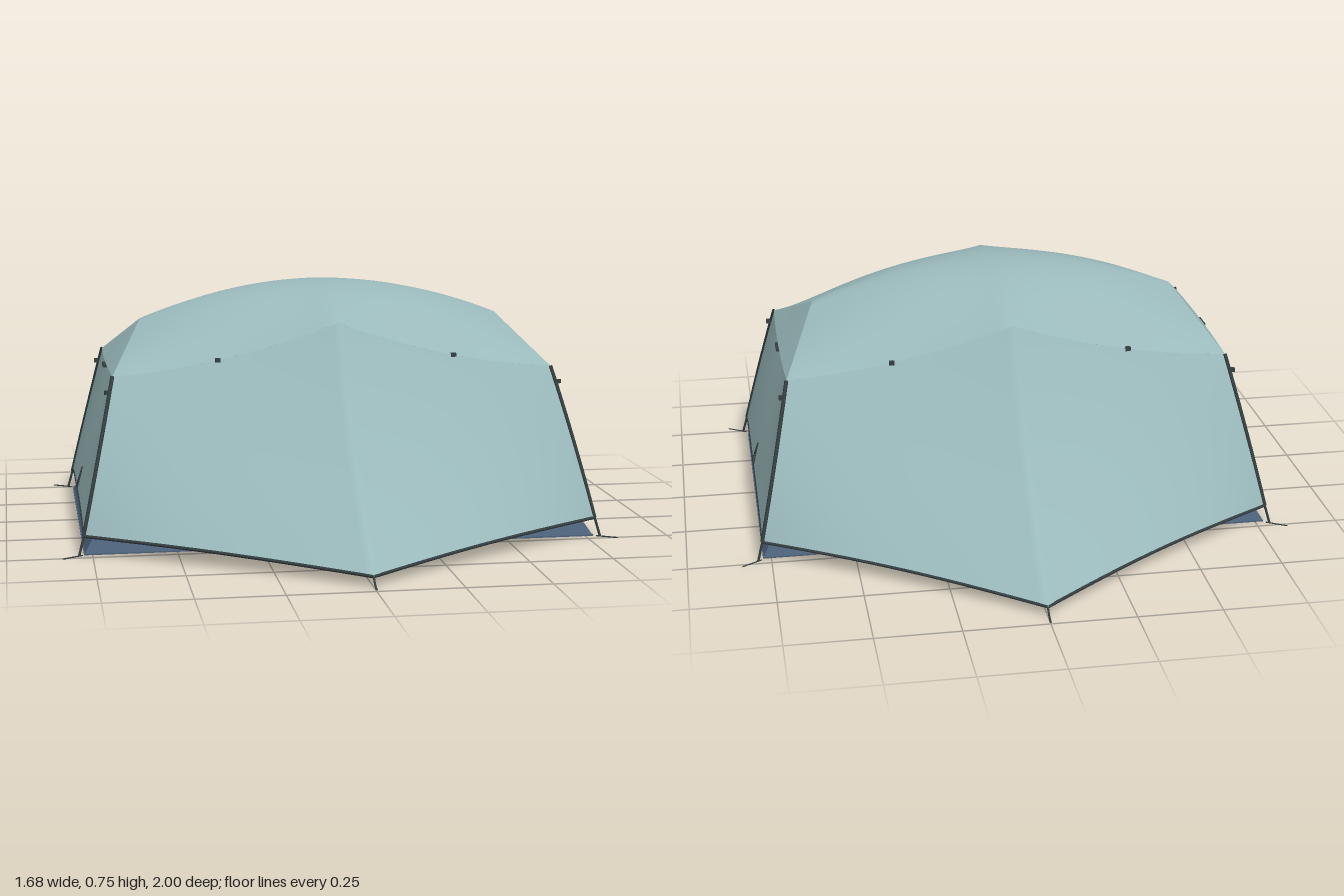
import * as THREE from 'three';

const mat = (name, color, side = THREE.FrontSide) => {
  const m = new THREE.MeshStandardMaterial({ color, side });
  m.name = name;
  return m;
};
const V = (x, y, z) => new THREE.Vector3(x, y, z);
const lerp = THREE.MathUtils.lerp;

// Grid surface from a rule f(a, b) with a, b in 0..1
function patch(f, na, nb) {
  const pos = [], idx = [];
  for (let j = 0; j <= nb; j++)
    for (let i = 0; i <= na; i++) pos.push(...f(i / na, j / nb).toArray());
  for (let j = 0; j < nb; j++)
    for (let i = 0; i < na; i++) {
      const p = j * (na + 1) + i, q = p + na + 1;
      idx.push(p, q, p + 1, p + 1, q, q + 1);
    }
  const g = new THREE.BufferGeometry();
  g.setAttribute('position', new THREE.Float32BufferAttribute(pos, 3));
  g.setIndex(idx);
  g.computeVertexNormals();
  return g;
}

// Key lines of the cover; u runs from the middle (0) to the end (1)
const ridge = u => V(0.57 * u, 0.755 - 0.115 * u * u, 0);
const eave = u => V(0.675 * u, 0.66 - 0.26 * u + 0.105 * u * u, 0.375 - 0.09 * u + 0.025 * u * u);
const hem = u => V(0.775 * u, 0.03 + 0.03 * u, 0.955 - 0.475 * u - 0.028 * Math.sin(Math.PI * u));

// Porch panel: hollow in the middle, slightly bowed out at the corner pole
function porch(u, t) {
  const p = eave(u).lerp(hem(u), t), bow = 4 * t * (1 - t);
  p.y -= 0.035 * bow * (1 - u);
  p.z += bow * lerp(-0.03, 0.016, u);
  return p;
}

// Roof: rounded across the middle, folded at the ends
function roof(u, v) {
  const a = Math.abs(u), t = Math.abs(v), r = ridge(a), e = eave(a);
  return V(Math.sign(u) * lerp(r.x, e.x, t), lerp(r.y, e.y, lerp(t * t, t, a ** 3)), e.z * v);
}

// End wall: tucked under the end eave, with a raised hem; v runs -1..1
function endWall(v, t) {
  const c = porch(1, t), arch = 1 - v ** 4;
  return V(c.x - 0.025 * (1 - v * v) * (1 - t) ** 2, c.y + 0.04 * arch * t * t - 0.012 * arch * (1 - t), c.z * v);
}

export function createModel() {
  const tent = new THREE.Group();
  tent.name = 'tent';
  const fly = mat('pale teal fabric', 0x9ab9bb, THREE.DoubleSide);
  const tub = mat('slate blue floor fabric', 0x4b6078, THREE.DoubleSide);
  const dark = mat('dark trim', 0x353f41, THREE.DoubleSide);

  const add = (name, geo, material) => {
    const m = new THREE.Mesh(geo, material);
    m.name = name;
    tent.add(m);
    return m;
  };
  const cord = (name, points, r, segs = 16) =>
    add(name, new THREE.TubeGeometry(new THREE.CatmullRomCurve3(points), segs, r, 6), dark);
  const sample = (f, n = 12) => Array.from({ length: n + 1 }, (_, i) => f(i / n));
  const flip = (p, sx, sz) => V(p.x * sx, p.y, p.z * sz);

  // Roof
  add('roof', patch((a, b) => roof(2 * a - 1, 2 * b - 1), 32, 24), fly);

  // Floor with sloping side walls
  const floor = add('floor', new THREE.BoxGeometry(1.55, 0.004, 0.94), tub);
  floor.position.y = 0.002;
  const corners = [[1, 1], [1, -1], [-1, -1], [-1, 1]];
  corners.forEach(([x0, z0], i) => {
    const [x1, z1] = corners[(i + 1) % 4];
    add('floorWall', patch((a, b) => V(
      lerp(x0, x1, a) * lerp(0.775, 0.7, b), 0.12 * b, lerp(z0, z1, a) * lerp(0.47, 0.385, b)), 1, 1), tub);
  });

  for (const sz of [1, -1]) {
    // Zip flap down the middle of each porch
    const flap = (a, t) => {
      const x = 0.04 * a - 0.02, p = porch(Math.abs(x) / lerp(0.675, 0.775, t), t);
      return V(x, p.y + 0.003, (p.z + 0.003) * sz);
    };
    add('zipFlap', patch((a, b) => flap(sz > 0 ? a : 1 - a, b), 2, 20), fly);

    // Porch peg and loop
    cord('porchPeg', [V(0, 0.03, 0.952 * sz), V(0, 0.012, 0.975 * sz), V(0, 0.004, 0.998 * sz)], 0.003, 6);

    for (const sx of [1, -1]) {
      add('porchPanel', patch((a, b) => flip(porch(sx * sz > 0 ? a : 1 - a, b), sx, sz), 20, 20), fly);
      cord('porchHem', sample(u => flip(hem(u), sx, sz)), 0.005);
      cord('cornerSleeve', sample(t => flip(porch(1, t), sx, sz)), 0.006);
      // Corner strap and peg
      cord('cornerStrap', [V(0.775 * sx, 0.06, 0.48 * sz), V(0.79 * sx, 0.004, 0.49 * sz)], 0.004, 4);
      cord('cornerPeg', [V(0.78 * sx, 0.004, 0.485 * sz), V(0.838 * sx, 0.004, 0.52 * sz)], 0.002, 4);
      // Guy line toggles on the eave and the corner sleeve
      const toggle = new THREE.BoxGeometry(0.016, 0.012, 0.012);
      add('eaveToggle', toggle, dark).position.copy(flip(eave(0.535), sx, sz));
      add('sleeveToggle', toggle, dark).position.copy(flip(porch(1, 0.1), sx, sz)).add(V(0.008 * sx, 0, 0));
    }
  }

  for (const sx of [1, -1]) {
    const dir = a => sx * (1 - 2 * a);
    // End wall and its hem
    add('endWall', patch((a, b) => flip(endWall(dir(a), b), sx, 1), 24, 16), fly);
    cord('endHem', sample(a => flip(endWall(2 * a - 1, 1), sx, 1), 24), 0.003, 32);

    // Triangular hood with a dark vent below its edge
    const hoodEdge = v => V(0.675 + 0.006 * (1 - v * v), 0.505, 0.31 * v);
    add('endHood', patch((a, b) => {
      const v = dir(a), top = roof(1, v);
      return flip(top.lerp(hoodEdge(v), b), sx, 1);
    }, 24, 4), fly);
    add('vent', patch((a, b) => flip(hoodEdge(dir(a)).lerp(endWall(dir(a), 0), b), sx, 1), 24, 1), dark);

    // Hood toggle and the small tie-out at the foot of the wall
    add('hoodToggle', new THREE.BoxGeometry(0.014, 0.01, 0.06), dark).position.set(0.682 * sx, 0.496, 0);
    const foot = t => endWall(0, t).add(V(0.004, 0, 0));
    for (const s of [1, -1])
      cord('tieOut', [flip(foot(0.8), sx, 1), flip(foot(0.99), sx, 1).add(V(0, 0, 0.025 * s))], 0.002, 4);
  }
  return tent;
}
